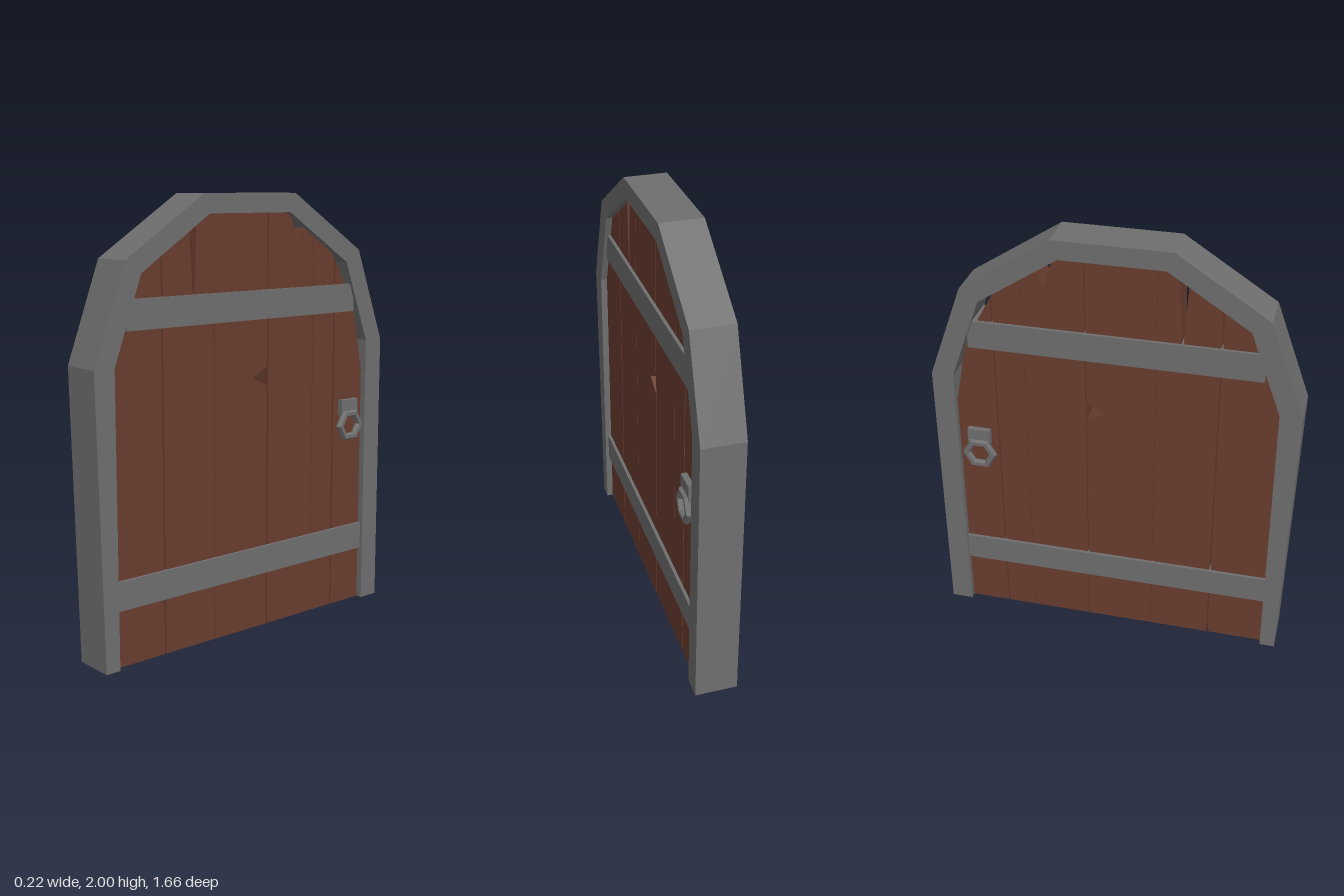
import * as THREE from 'three';

const iron = new THREE.MeshStandardMaterial({ color: 0x6e6e6e });
iron.name = 'iron grey';
const wood = new THREE.MeshStandardMaterial({ color: 0x693d2f });
wood.name = 'brown wood';

// Extrudes an outline drawn as [u, y], with u = -z, across the door's thickness in x
function slab(name, points, halfDepth, material) {
  const shape = new THREE.Shape(points.map(([u, y]) => new THREE.Vector2(u, y)));
  const geometry = new THREE.ExtrudeGeometry(shape, { depth: halfDepth * 2, bevelEnabled: false });
  geometry.translate(0, 0, -halfDepth);
  geometry.rotateY(Math.PI / 2);
  const mesh = new THREE.Mesh(geometry, material);
  mesh.name = name;
  return mesh;
}

function box(name, w, h, d, x, y, z) {
  const mesh = new THREE.Mesh(new THREE.BoxGeometry(w, h, d), iron);
  mesh.name = name;
  mesh.position.set(x, y, z);
  return mesh;
}

export function createModel() {
  const door = new THREE.Group();
  door.name = 'archedDoor';

  // Faceted arch frame, open at the bottom
  door.add(slab('frame', [
    [-0.80, 0], [-0.73, 0], [-0.73, 1.30], [-0.59, 1.68], [-0.23, 1.915],
    [0.23, 1.915], [0.59, 1.68], [0.73, 1.30], [0.73, 0], [0.83, 0],
    [0.83, 1.30], [0.67, 1.735], [0.26, 2], [-0.26, 2], [-0.67, 1.735], [-0.83, 1.30],
  ], 0.097, iron));

  // Planks, with splits and chips cut into their outlines
  const planks = [
    [[-0.735, 0], [-0.471, 0], [-0.471, 1.78], [-0.60, 1.69], [-0.735, 1.31]],
    [[-0.463, 0], [-0.189, 0], [-0.189, 1.925], [-0.23, 1.925], [-0.279, 1.90],
      [-0.294, 1.57], [-0.303, 1.57], [-0.321, 1.87], [-0.463, 1.78]],
    [[-0.186, 0], [0.121, 0], [0.121, 1.14], [0.037, 1.18], [0.121, 1.225],
      [0.121, 1.925], [-0.186, 1.925]],
    [[0.128, 0], [0.402, 0], [0.402, 1.815], [0.345, 1.855], [0.303, 1.77],
      [0.258, 1.91], [0.23, 1.925], [0.128, 1.925]],
    [[0.405, 0], [0.537, 0], [0.537, 1.70], [0.515, 1.73], [0.405, 1.81]],
    [[0.545, 0], [0.735, 0], [0.735, 1.15], [0.727, 1.17], [0.674, 1.44],
      [0.605, 1.58], [0.545, 1.69]],
  ];
  planks.forEach((points, i) => door.add(slab('plank' + (i + 1), points, 0.067, wood)));

  // Iron straps across both faces
  door.add(box('lowerStrap', 0.164, 0.13, 1.48, 0, 0.322, 0));
  door.add(box('upperStrap', 0.164, 0.13, 1.31, 0, 1.51, 0));

  // Hexagonal ring handles on both faces
  for (const side of [-1, 1]) {
    const handle = new THREE.Group();
    handle.name = side > 0 ? 'leftHandle' : 'rightHandle';
    handle.add(box('handlePlate', 0.034, 0.075, 0.106, side * 0.077, 0.983, -0.631));
    const ringGeometry = new THREE.TorusGeometry(0.064, 0.019, 6, 6).toNonIndexed();
    ringGeometry.computeVertexNormals();
    const ring = new THREE.Mesh(ringGeometry, iron);
    ring.name = 'handleRing';
    ring.rotation.y = Math.PI / 2;
    ring.position.set(side * 0.092, 0.896, -0.631);
    handle.add(ring);
    door.add(handle);
  }
  return door;
}
